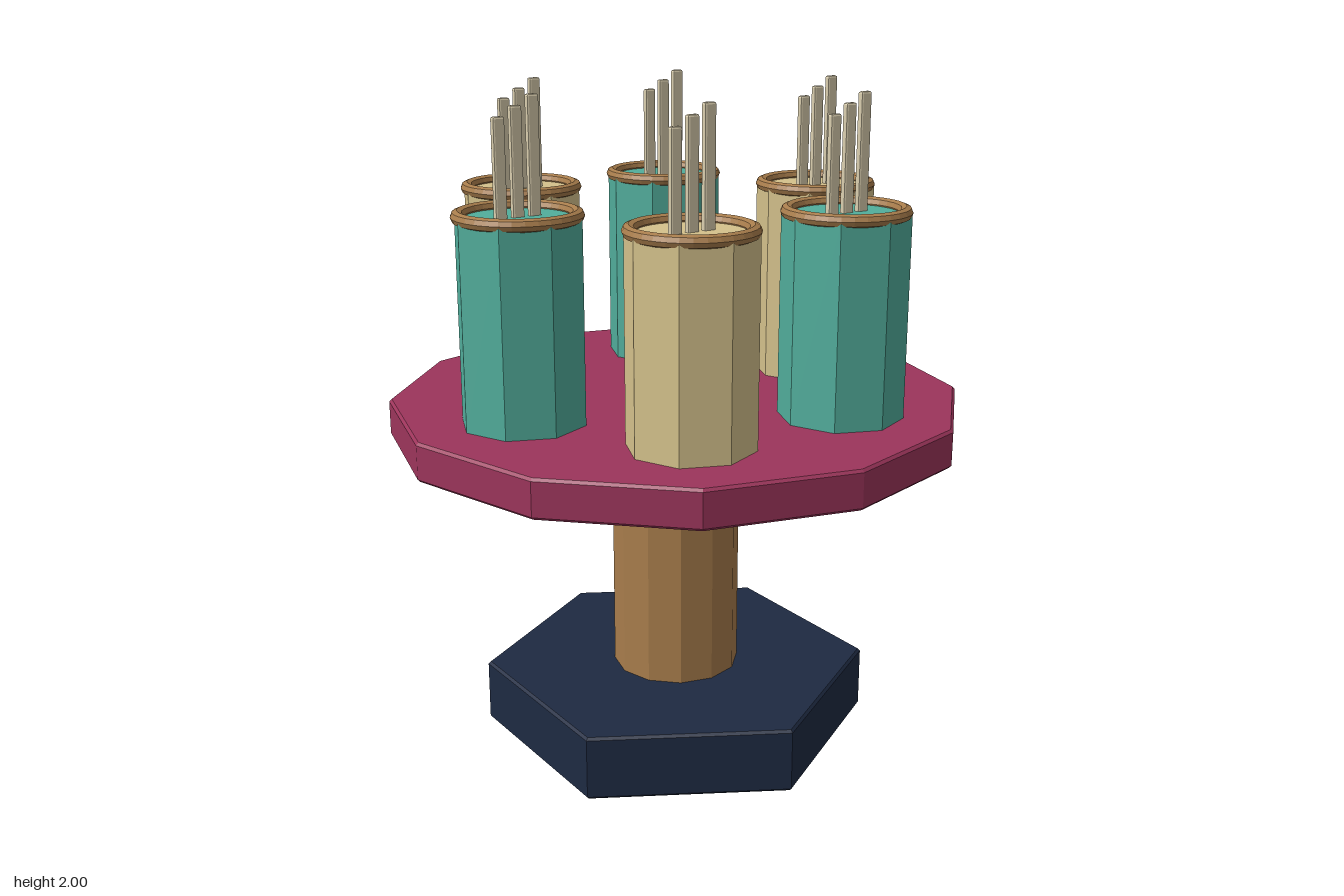
import * as THREE from 'three';
import { RoundedBoxGeometry } from 'three/addons/geometries/RoundedBoxGeometry.js';

const material = (color) => new THREE.MeshStandardMaterial({ color, flatShading: true });
const navy = material(0x1e2a42);
const wood = material(0xa87d4c);
const plum = material(0x9c355b);
const teal = material(0x52ae9c);
const cream = material(0xd5c28c);
const stickMaterial = material(0xdcd0b0);

function addMesh(parent, name, geometry, mat, x = 0, y = 0, z = 0) {
  const mesh = new THREE.Mesh(geometry, mat);
  mesh.name = name;
  mesh.position.set(x, y, z);
  parent.add(mesh);
  return mesh;
}

// Solid prism from y0 to y1 with a narrow bevel round both ends
function prism(radius, y0, y1, sides, bevel) {
  const profile = [
    [0, y0], [radius - bevel, y0], [radius, y0 + bevel],
    [radius, y1 - bevel], [radius - bevel, y1], [0, y1],
  ].map(([r, y]) => new THREE.Vector2(r, y));
  return new THREE.LatheGeometry(profile, sides);
}

export function createModel() {
  const model = new THREE.Group();
  model.name = 'cupCarousel';

  // Stand: hexagonal foot, post and round deck
  addMesh(model, 'base', prism(0.6, 0, 0.2, 6, 0.008), navy);
  addMesh(model, 'post', new THREE.CylinderGeometry(0.196, 0.196, 0.81, 12), wood, 0, 0.595, 0);
  addMesh(model, 'deck', prism(0.865, 0.965, 1.08, 12, 0.008), plum);

  // Shared cup parts
  const cupGeometry = new THREE.CylinderGeometry(0.183, 0.183, 0.6, 8);
  const rimGeometry = new THREE.TorusGeometry(0.166, 0.019, 8, 32).rotateX(Math.PI / 2);
  const stickTops = [1.945, 1.972, 2.0];
  const stickBottom = 1.62;

  // Six cups in a ring, alternating in colour, each holding three flat sticks
  for (let i = 0; i < 6; i++) {
    const angle = (i * Math.PI) / 3;
    const cup = new THREE.Group();
    cup.name = 'cup';
    cup.position.set(0.527 * Math.cos(angle), 0, 0.527 * Math.sin(angle));
    addMesh(cup, 'cupBody', cupGeometry, i % 2 ? teal : cream, 0, 1.37, 0);
    addMesh(cup, 'cupRim', rimGeometry, wood, 0, 1.674, 0);
    stickTops.forEach((top, k) => {
      const height = top - stickBottom;
      const geometry = new RoundedBoxGeometry(0.037, height, 0.019, 1, 0.006);
      addMesh(cup, 'stick', geometry, stickMaterial, (k - 1) * 0.053, stickBottom + height / 2, 0);
    });
    model.add(cup);
  }

  return model;
}
